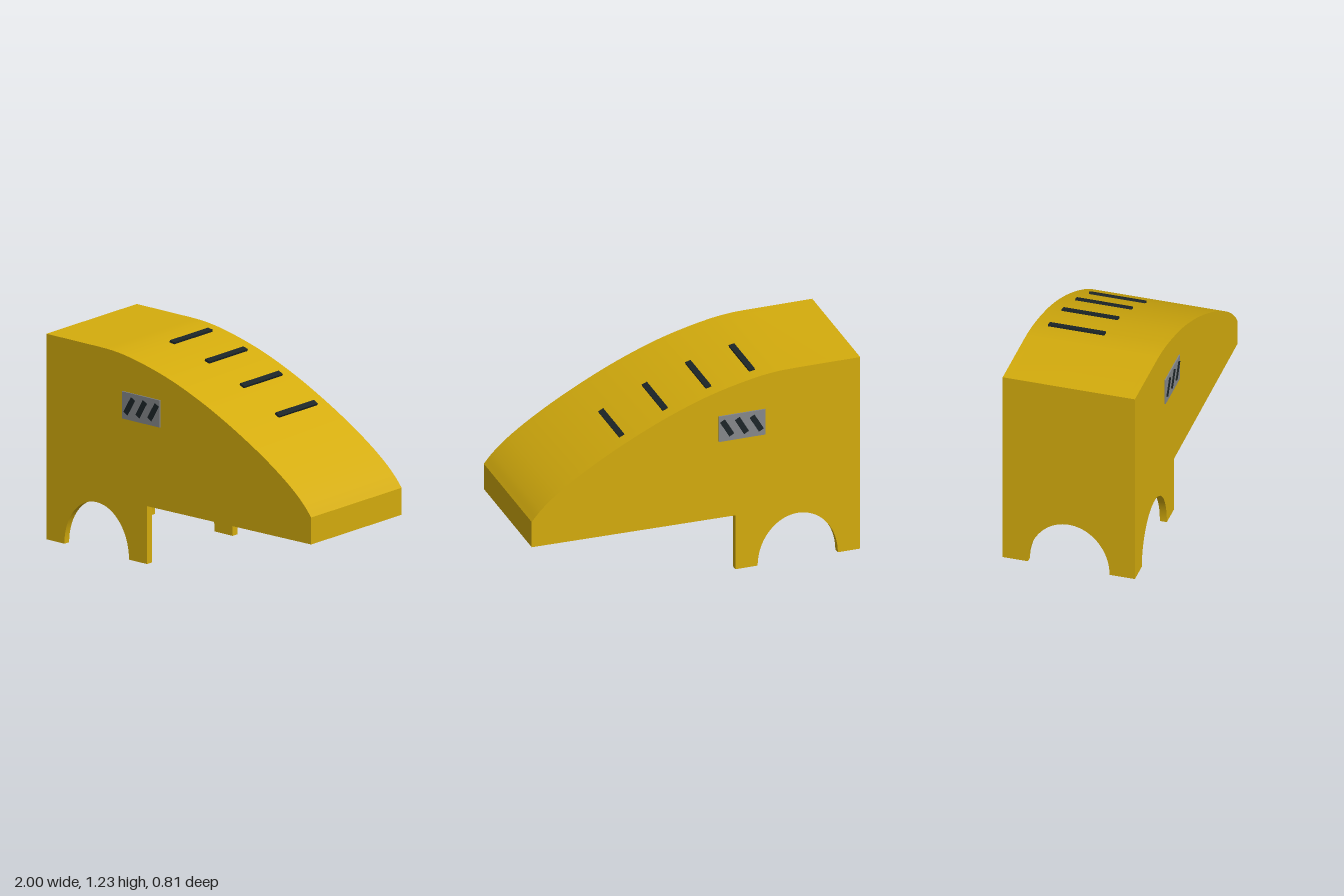
import * as THREE from 'three';
import { toCreasedNormals } from 'three/addons/utils/BufferGeometryUtils.js';

const T = 0.042;          // wall thickness
const HALF = 0.395;       // half width
const INNER = HALF - T;

const mat = (name, color) => {
  const m = new THREE.MeshStandardMaterial({ color });
  m.name = name;
  return m;
};

function addMesh(parent, name, geometry, material) {
  const m = new THREE.Mesh(geometry, material);
  m.name = name;
  parent.add(m);
  return m;
}

// Extrude along z from z = 0, smooth along curves and sharp at corners
function extrude(shape, depth) {
  const g = new THREE.ExtrudeGeometry(shape, { depth, bevelEnabled: false, curveSegments: 32 });
  return toCreasedNormals(g, 0.5);
}

// Half-ellipse arch cut in a bottom edge, running left to right
const arch = (shape, cx) => shape.absellipse(cx, 0, 0.244, 0.295, Math.PI, 0, true);

export function createModel() {
  const model = new THREE.Group();
  model.name = 'coveredShell';
  const yellow = mat('yellow', 0xd4ac0d);
  const grey = mat('grey', 0x85888c);
  const dark = mat('dark', 0x1c2528);

  // Falling roof line
  const roofCurve = new THREE.CatmullRomCurve3([
    [-0.6, 1.225], [-0.5, 1.222], [-0.37, 1.206], [-0.105, 1.144], [0.157, 1.05],
    [0.423, 0.926], [0.68, 0.782], [0.86, 0.658], [0.95, 0.577], [1, 0.518],
  ].map(([x, y]) => new THREE.Vector3(x, y, 0)), false, 'centripetal');
  const N = 48;
  const outer = [];
  const inner = [];
  for (let i = 0; i <= N; i++) {
    const p = roofCurve.getPoint(i / N);
    const t = roofCurve.getTangent(i / N);
    outer.push(new THREE.Vector2(p.x, p.y));
    const q = new THREE.Vector2(p.x + t.y * T, p.y - t.x * T);
    if (q.x < 1 - T - 0.005) inner.push(q);
  }

  // Side walls with wheel-like arches
  const side = new THREE.Shape();
  side.moveTo(-1, 0);
  side.lineTo(-0.864, 0);
  arch(side, -0.62);
  side.lineTo(-0.24, 0);
  side.lineTo(-0.24, 0.345);
  side.lineTo(1, 0.357);
  [...outer].reverse().forEach((p) => side.lineTo(p.x, p.y));
  side.lineTo(-1, 1.225);
  side.closePath();
  const sideGeo = extrude(side, T);
  addMesh(model, 'frontSideWall', sideGeo, yellow).position.z = INNER;
  addMesh(model, 'backSideWall', sideGeo, yellow).position.z = -HALF;

  // Roof band, ending in the low nose wall
  const roof = new THREE.Shape();
  roof.moveTo(-1, 1.225 - T);
  inner.forEach((p) => roof.lineTo(p.x, p.y));
  roof.lineTo(1 - T, inner[inner.length - 1].y - 0.008);
  roof.lineTo(1 - T, 0.357);
  roof.lineTo(1, 0.357);
  [...outer].reverse().forEach((p) => roof.lineTo(p.x, p.y));
  roof.lineTo(-1, 1.225);
  roof.closePath();
  addMesh(model, 'roof', extrude(roof, INNER * 2), yellow).position.z = -INNER;

  // Tall end wall with its own arch
  const end = new THREE.Shape();
  end.moveTo(-INNER, 0);
  end.lineTo(-0.244, 0);
  arch(end, 0);
  end.lineTo(INNER, 0);
  end.lineTo(INNER, 1.225 - T);
  end.lineTo(-INNER, 1.225 - T);
  end.closePath();
  const endWall = addMesh(model, 'endWall', extrude(end, T), yellow);
  endWall.rotation.y = Math.PI / 2;
  endWall.position.x = -1;

  // Grilles on both sides
  for (const s of [1, -1]) {
    const grille = new THREE.Group();
    grille.name = s > 0 ? 'frontGrille' : 'backGrille';
    model.add(grille);
    addMesh(grille, 'grillePlate', new THREE.BoxGeometry(0.283, 0.162, 0.008), grey)
      .position.set(-0.28, 0.915, s * (HALF + 0.003));
    for (let i = -1; i <= 1; i++) {
      const slat = addMesh(grille, 'grilleSlat', new THREE.BoxGeometry(0.112, 0.034, 0.008), dark);
      slat.position.set(-0.277 + i * 0.09, 0.917, s * (HALF + 0.006));
      slat.rotation.z = Math.PI / 3;
    }
  }

  // Raised bars lying on the roof slope
  for (const x of [-0.372, -0.107, 0.157, 0.422]) {
    const i = outer.findIndex((p) => p.x >= x);
    const a = outer[i - 1];
    const b = outer[i];
    const y = a.y + (b.y - a.y) * (x - a.x) / (b.x - a.x);
    const bar = addMesh(model, 'roofBar', new THREE.BoxGeometry(0.035, 0.016, 0.335), dark);
    bar.position.set(x, y + 0.005, -0.143);
    bar.rotation.z = Math.atan2(b.y - a.y, b.x - a.x);
  }
  return model;
}
